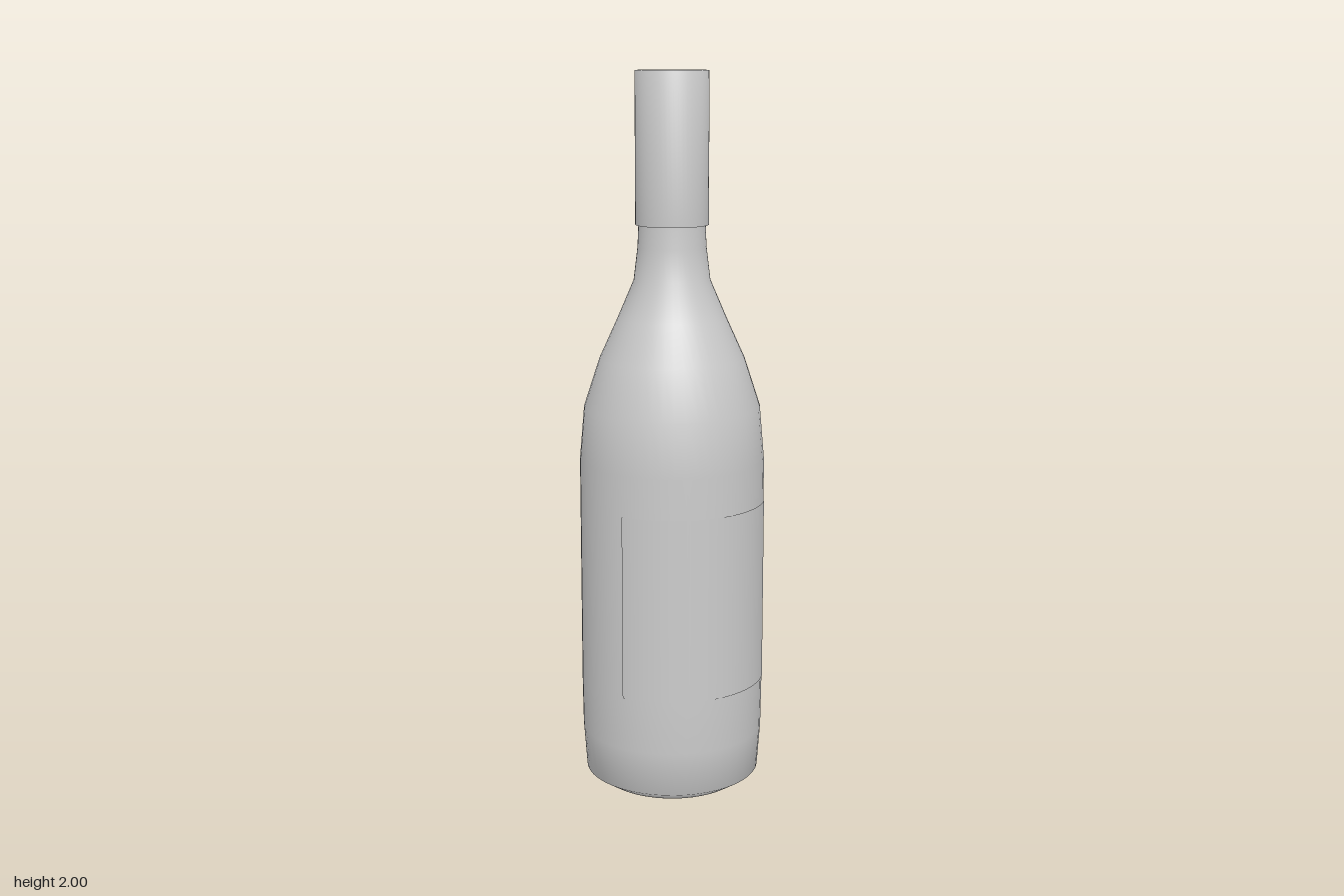
import * as THREE from 'three';

const SEGMENTS = 48;

function turned(name, profile, material) {
  const points = profile.map(([r, y]) => new THREE.Vector2(r, y));
  const mesh = new THREE.Mesh(new THREE.LatheGeometry(points, SEGMENTS), material);
  mesh.name = name;
  return mesh;
}

export function createModel() {
  const model = new THREE.Group();
  model.name = 'bottle';
  const grey = new THREE.MeshStandardMaterial({ color: 0xcccccc });
  const thin = new THREE.MeshStandardMaterial({ color: 0xcccccc, side: THREE.DoubleSide });

  // Glass body: flat base, straight side, sloping shoulder and neck
  model.add(turned('body', [
    [0, 0], [0.2, 0.005], [0.246, 0.035], [0.255, 0.16], [0.257, 0.3], [0.257, 0.94],
    [0.244, 1.09], [0.2, 1.225], [0.15, 1.335], [0.105, 1.44], [0.094, 1.53], [0.091, 1.6],
  ], grey));

  // Foil sleeve over the neck, closed at the top and at the lower rim
  model.add(turned('neckFoil', [[0.085, 1.59], [0.1, 1.59], [0.1, 2], [0, 2]], grey));

  // Label wrapped around the front
  const halfAngle = 0.97;
  const label = new THREE.Mesh(
    new THREE.CylinderGeometry(0.26, 0.26, 0.515, 24, 1, true, -halfAngle, 2 * halfAngle), thin);
  label.position.y = 0.57;
  label.name = 'label';
  model.add(label);

  return model;
}
